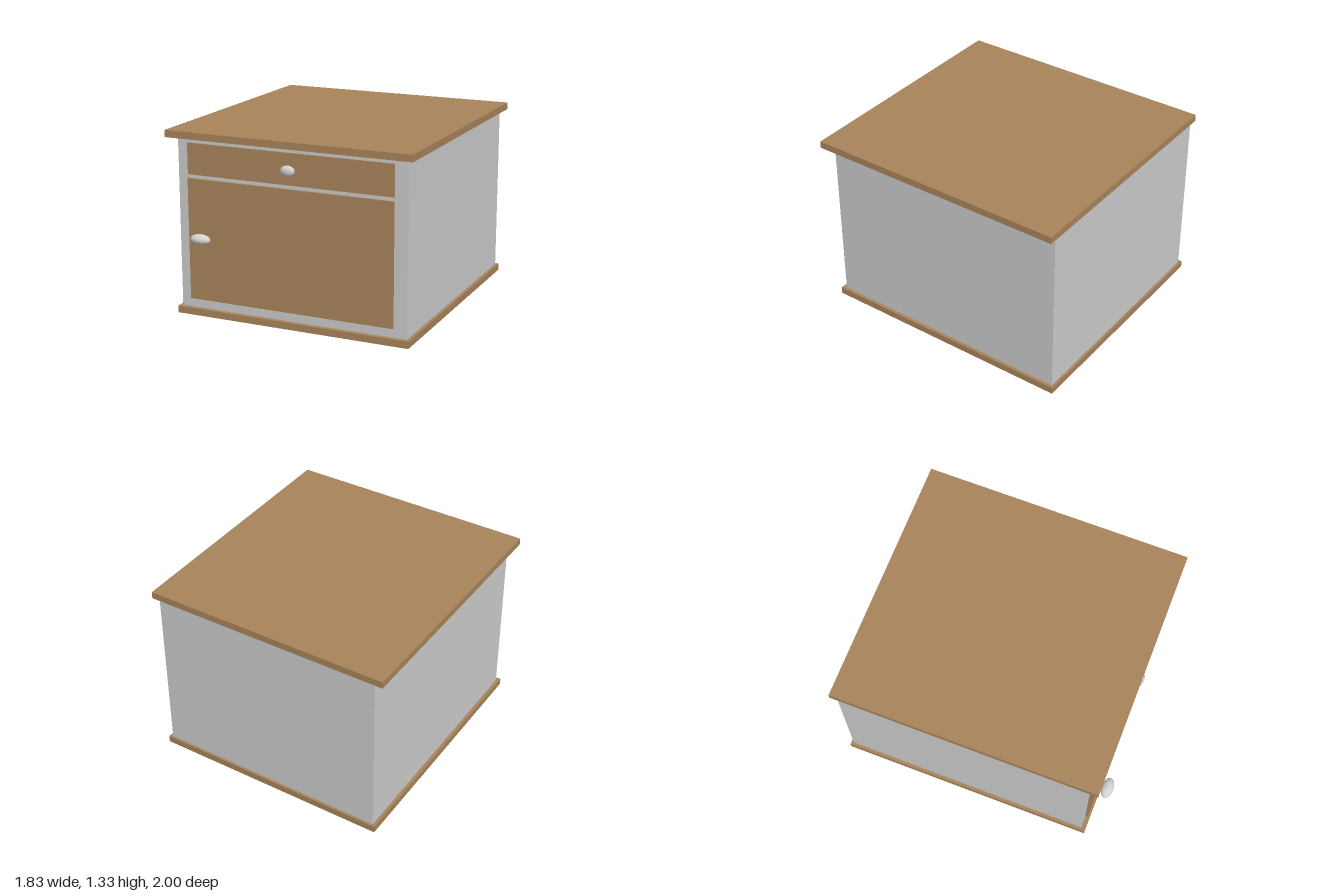
import * as THREE from 'three';

export function createModel() {
  const wood = new THREE.MeshStandardMaterial({ color: 0xa8845a });
  wood.name = 'wood';
  const paint = new THREE.MeshStandardMaterial({ color: 0xcccccc });
  paint.name = 'grey paint';
  const metal = new THREE.MeshStandardMaterial({ color: 0xd2d2d2 });
  metal.name = 'knob metal';

  const model = new THREE.Group();
  model.name = 'bedsideCabinet';

  // Box given by its lower and upper limits on each axis
  function slab(name, material, [x0, x1], [y0, y1], [z0, z1]) {
    const mesh = new THREE.Mesh(new THREE.BoxGeometry(x1 - x0, y1 - y0, z1 - z0), material);
    mesh.position.set((x0 + x1) / 2, (y0 + y1) / 2, (z0 + z1) / 2);
    mesh.name = name;
    model.add(mesh);
  }

  // Flattened knob on a thin stem that reaches back to the panel
  function knob(name, [x, y, z], [rx, ry, rz], panelZ, stemX, stemRadius) {
    const group = new THREE.Group();
    group.name = name;
    const head = new THREE.Mesh(new THREE.SphereGeometry(1, 32, 20), metal);
    head.name = name + 'Head';
    head.scale.set(rx, ry, rz);
    head.position.set(x, y, z);
    const length = z - panelZ;
    const stem = new THREE.Mesh(new THREE.CylinderGeometry(stemRadius, stemRadius, length, 20), metal);
    stem.name = name + 'Stem';
    stem.rotation.x = Math.PI / 2;
    stem.position.set(stemX, y, panelZ + length / 2);
    group.add(head, stem);
    model.add(group);
  }

  // Carcass
  slab('base', wood, [-0.88, 0.88], [0, 0.05], [-1, 0.893]);
  slab('body', paint, [-0.857, 0.857], [0.05, 1.28], [-0.983, 0.862]);
  slab('top', wood, [-0.915, 0.915], [1.28, 1.33], [-0.99, 0.942]);

  // Front panels
  slab('drawerFront', wood, [-0.78, 0.76], [1.017, 1.24], [0.855, 0.873]);
  slab('door', wood, [-0.78, 0.76], [0.117, 0.99], [0.855, 0.88]);

  // Handles
  knob('drawerKnob', [0.017, 1.13, 0.926], [0.053, 0.038, 0.025], 0.87, 0.017, 0.011);
  knob('doorKnob', [-0.645, 0.585, 0.957], [0.076, 0.037, 0.043], 0.878, -0.67, 0.014);

  return model;
}
